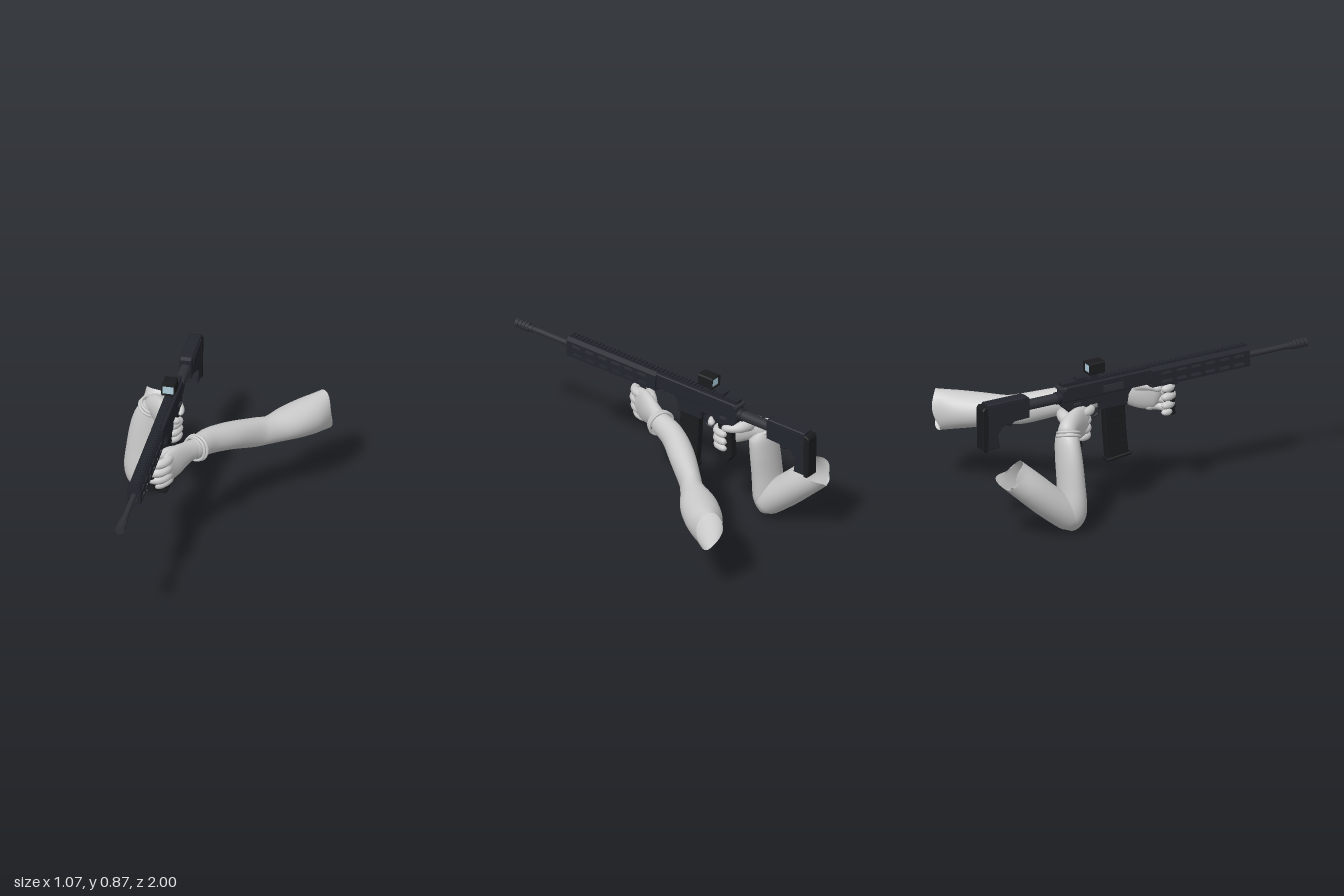
import * as THREE from 'three';

const mat = (color) => new THREE.MeshStandardMaterial({ color, side: THREE.DoubleSide });
const skin = mat(0xcccccc), body = mat(0x23262e), steel = mat(0x2f3138), rubber = mat(0x1b1c1e), glass = mat(0xadcbda);

function add(parent, name, geo, material, x = 0, y = 0, z = 0) {
  const m = new THREE.Mesh(geo, material);
  m.name = name;
  m.position.set(x, y, z);
  parent.add(m);
  return m;
}
const box = (g, name, w, h, d, m, x, y, z) => add(g, name, new THREE.BoxGeometry(w, h, d), m, x, y, z);
const rod = (g, name, r, z0, z1, m, y = 0) =>
  add(g, name, new THREE.CylinderGeometry(r, r, z1 - z0, 20).rotateX(Math.PI / 2), m, 0, y, (z0 + z1) / 2);

// Side profile given as [z, y] points, extruded across x
function plate(g, name, pts, width, m, x = 0, holes = [], bevel = 0.005) {
  const shape = new THREE.Shape(pts.map(p => new THREE.Vector2(...p)));
  for (const h of holes) shape.holes.push(new THREE.Path(h.map(p => new THREE.Vector2(...p))));
  const depth = width - 2 * bevel;
  const geo = new THREE.ExtrudeGeometry(shape, {
    depth, bevelEnabled: bevel > 0, bevelSize: bevel, bevelThickness: bevel, bevelOffset: -bevel, bevelSegments: 1,
  });
  geo.rotateY(-Math.PI / 2).translate(depth / 2, 0, 0);
  add(g, name, geo, m, x);
}

// Smooth elliptical tube through [x, y, z, ra, rb]; capA / capB round off that share of each end,
// jag gives the end ring an uneven torn edge
function loft(g, name, pts, { ref = [0, 1, 0], steps = 24, sides = 20, capA = 0, capB = 0, jag = 0 } = {}) {
  const path = new THREE.CatmullRomCurve3(pts.map(p => new THREE.Vector3(p[0], p[1], p[2])), false, 'catmullrom');
  const radii = new THREE.CatmullRomCurve3(pts.map(p => new THREE.Vector3(p[3], p[4] ?? p[3], 0)), false, 'catmullrom');
  const up = new THREE.Vector3(...ref), pos = [], idx = [];
  for (let i = 0; i <= steps; i++) {
    const t = i / steps, c = path.getPoint(t), r = radii.getPoint(t), T = path.getTangent(t);
    const s = up.clone().cross(T).normalize(), o = T.clone().cross(s);
    let k = 1;
    if (t < capA) k = Math.sqrt(1 - (1 - t / capA) ** 2);
    if (t > 1 - capB) k = Math.sqrt(Math.max(0, 1 - ((t - 1 + capB) / capB) ** 2));
    k = Math.max(k, 0.001);
    for (let j = 0; j < sides; j++) {
      const a = j / sides * Math.PI * 2;
      const e = i === steps ? jag * (Math.sin(2 * a) + 0.6 * Math.cos(3 * a)) : 0;
      const p = c.clone().addScaledVector(s, Math.cos(a) * r.x * k).addScaledVector(o, Math.sin(a) * r.y * k).addScaledVector(T, e);
      pos.push(p.x, p.y, p.z);
      if (i < steps) {
        const n = (j + 1) % sides, A = i * sides;
        idx.push(A + j, A + n, A + sides + j, A + n, A + sides + n, A + sides + j);
      }
    }
  }
  const geo = new THREE.BufferGeometry();
  geo.setAttribute('position', new THREE.Float32BufferAttribute(pos, 3));
  geo.setIndex(idx);
  geo.computeVertexNormals();
  add(g, name, geo, skin);
}

// Rolled glove edge around a wrist
function cuff(g, name, at, dir, r) {
  const d = new THREE.Vector3(...dir).normalize();
  for (const [off, s] of [[-0.01, 0.94], [0.01, 1]]) {
    const m = add(g, name, new THREE.TorusGeometry(r * s, 0.008, 8, 28), skin);
    m.position.set(...at).addScaledVector(d, off);
    m.quaternion.setFromUnitVectors(new THREE.Vector3(0, 0, 1), d);
  }
}

function buildRifle() {
  const g = new THREE.Group();
  g.name = 'rifle';
  // Barrel and muzzle brake
  rod(g, 'barrel', 0.016, 0.0, 0.93, steel);
  rod(g, 'muzzleCollar', 0.021, 0.885, 0.915, steel);
  for (let i = 0; i < 4; i++) rod(g, 'muzzleRing', 0.025, 0.91 + i * 0.023, 0.928 + i * 0.023, steel);
  rod(g, 'muzzleCore', 0.021, 0.9, 0.99, rubber);

  // Handguard: upper shell, floor and slotted sides
  const oct = [[-0.022, 0.06], [0.022, 0.06], [0.036, 0.04], [0.036, -0.014], [-0.036, -0.014], [-0.036, 0.04]];
  const shell = new THREE.ExtrudeGeometry(new THREE.Shape(oct.map(p => new THREE.Vector2(...p))), { depth: 0.6, bevelEnabled: false });
  add(g, 'handguardShell', shell, body, 0, 0, 0.035);
  box(g, 'handguardFloor', 0.04, 0.012, 0.6, body, 0, -0.047, 0.335);
  const slots = [];
  for (let i = 0; i < 6; i++) {
    const z = 0.1 + i * 0.088;
    slots.push([[z, -0.036], [z + 0.056, -0.036], [z + 0.062, -0.027], [z + 0.056, -0.018], [z, -0.018], [z - 0.006, -0.027]]);
  }
  for (const s of [-1, 1]) {
    plate(g, 'handguardSide', [[0.035, -0.05], [0.635, -0.05], [0.635, 0.02], [0.035, 0.02]], 0.01, body, s * 0.033, slots, 0);
    for (let i = 0; i < 6; i++) box(g, 'sideRib', 0.006, 0.012, 0.055, steel, s * 0.037, 0.02, 0.128 + i * 0.088);
  }

  // Top rail with teeth
  box(g, 'railBase', 0.03, 0.012, 1.05, body, 0, 0.058, 0.1);
  for (let i = 0; i < 44; i++) box(g, 'railTooth', 0.036, 0.01, 0.013, body, 0, 0.067, 0.618 - i * 0.0242);

  // Receiver
  plate(g, 'upperReceiver', [[0.035, 0.056], [-0.49, 0.056], [-0.51, 0.04], [-0.51, -0.03], [0.035, -0.03]], 0.066, body);
  plate(g, 'lowerReceiver', [[-0.07, -0.02], [-0.51, -0.02], [-0.5, -0.06], [-0.46, -0.1], [-0.36, -0.1], [-0.34, -0.075],
    [-0.27, -0.075], [-0.265, -0.12], [-0.11, -0.12], [-0.1, -0.06]], 0.056, body);
  box(g, 'ejectionCover', 0.01, 0.035, 0.12, steel, -0.035, 0.005, -0.2);
  box(g, 'chargingHandle', 0.075, 0.014, 0.03, steel, 0, 0.045, -0.5);
  for (const s of [-1, 1]) box(g, 'selector', 0.014, 0.012, 0.04, steel, s * 0.032, -0.05, -0.42);

  // Trigger and guard
  const guard = new THREE.CatmullRomCurve3([[-0.27, -0.1], [-0.285, -0.15], [-0.36, -0.155], [-0.385, -0.1]].map(p => new THREE.Vector3(0, p[1], p[0])));
  add(g, 'triggerGuard', new THREE.TubeGeometry(guard, 16, 0.007, 8), body);
  box(g, 'trigger', 0.012, 0.05, 0.012, steel, 0, -0.11, -0.335);

  // Pistol grip and forward grip
  plate(g, 'pistolGrip', [[-0.37, -0.08], [-0.47, -0.08], [-0.465, -0.17], [-0.475, -0.28], [-0.445, -0.32], [-0.385, -0.305], [-0.395, -0.2]], 0.05, rubber);
  add(g, 'foreGrip', new THREE.CylinderGeometry(0.026, 0.028, 0.18, 16), rubber, 0, -0.145, 0.16);
  for (let i = 0; i < 5; i++) add(g, 'foreGripRing', new THREE.CylinderGeometry(0.031, 0.031, 0.012, 16), rubber, 0, -0.23 + i * 0.035, 0.16);
  box(g, 'foreGripMount', 0.045, 0.02, 0.085, body, 0, -0.058, 0.16);

  // Magazine
  plate(g, 'magazine', [[-0.125, -0.09], [-0.25, -0.09], [-0.244, -0.25], [-0.232, -0.415], [-0.105, -0.4], [-0.118, -0.25]], 0.048, rubber);
  plate(g, 'magazineBase', [[-0.09, -0.395], [-0.24, -0.412], [-0.24, -0.432], [-0.09, -0.414]], 0.058, rubber);
  for (let i = 0; i < 6; i++) {
    const rib = box(g, 'magazineRib', 0.054, 0.01, 0.1, rubber, 0, -0.16 - i * 0.04, -0.184 + i * 0.003);
    rib.rotation.x = -0.12;
  }

  // Stock and the tube that carries it
  rod(g, 'stockTube', 0.029, -0.76, -0.5, steel, -0.006);
  rod(g, 'stockTubeNut', 0.034, -0.535, -0.505, body, -0.006);
  plate(g, 'stock', [[-0.71, 0.045], [-0.73, 0.056], [-0.968, 0.056], [-0.968, -0.205], [-0.895, -0.205], [-0.905, -0.13],
    [-0.875, -0.09], [-0.85, -0.08], [-0.825, -0.095], [-0.805, -0.072], [-0.71, -0.068]], 0.066, body);
  box(g, 'stockRail', 0.078, 0.035, 0.2, body, 0, 0.025, -0.85);
  plate(g, 'buttPad', [[-0.965, 0.045], [-0.99, 0.045], [-1, 0.03], [-1, -0.2], [-0.985, -0.212], [-0.965, -0.212]], 0.076, rubber);

  // Optic: hollow housing with glass, on a raised mount
  const frame = new THREE.Shape([[-0.036, 0.104], [-0.031, 0.099], [0.031, 0.099], [0.036, 0.104], [0.036, 0.158], [0.03, 0.164],
    [-0.03, 0.164], [-0.036, 0.158]].map(p => new THREE.Vector2(...p)));
  frame.holes.push(new THREE.Path([[-0.03, 0.106], [-0.03, 0.156], [0.03, 0.156], [0.03, 0.106]].map(p => new THREE.Vector2(...p))));
  add(g, 'opticHousing', new THREE.ExtrudeGeometry(frame, { depth: 0.096, bevelEnabled: false }), rubber, 0, 0, -0.346);
  for (const z of [-0.262, -0.334]) box(g, 'opticGlass', 0.061, 0.051, 0.004, glass, 0, 0.131, z);
  box(g, 'opticMount', 0.026, 0.036, 0.04, body, 0, 0.082, -0.3);
  // Folded rear sight
  box(g, 'rearSightBase', 0.045, 0.018, 0.09, body, 0, 0.068, -0.46);
  box(g, 'rearSight', 0.05, 0.03, 0.055, body, 0, 0.076, -0.385);

  g.position.set(-0.23, 0.71, 0);
  g.rotation.set(-0.013, 0.025, 0);
  return g;
}

function buildLeftArm() {
  const g = new THREE.Group();
  g.name = 'leftArm';
  loft(g, 'leftArmSleeve', [[-0.065, 0.592, -0.09, 0.05, 0.06], [-0.045, 0.585, -0.13, 0.056, 0.066], [-0.005, 0.565, -0.24, 0.064, 0.073],
    [0.08, 0.53, -0.37, 0.07, 0.077], [0.185, 0.48, -0.51, 0.06, 0.084], [0.245, 0.465, -0.575, 0.066, 0.08],
    [0.325, 0.456, -0.68, 0.1, 0.09], [0.41, 0.447, -0.79, 0.1, 0.105], [0.475, 0.44, -0.88, 0.072, 0.118]],
  { steps: 48, sides: 28, jag: 0.014 });
  cuff(g, 'leftCuff', [-0.05, 0.587, -0.115], [0.4, -0.12, -0.9], 0.07);
  // Hand around the forward grip
  loft(g, 'leftPalm', [[-0.05, 0.59, -0.11, 0.045, 0.055], [-0.085, 0.594, -0.05, 0.042, 0.066], [-0.125, 0.588, 0.03, 0.042, 0.092],
    [-0.15, 0.582, 0.09, 0.036, 0.094], [-0.165, 0.572, 0.15, 0.028, 0.08]], { capB: 0.2, steps: 30 });
  for (const [y, r, f] of [[0.638, 0.026, 0], [0.59, 0.027, 0.005], [0.542, 0.026, 0], [0.502, 0.022, -0.012]])
    loft(g, 'leftFinger', [[-0.143, y, 0.05, r], [-0.152, y, 0.125 + f, r], [-0.185, y - 0.004, 0.165 + f, r],
      [-0.228, y - 0.006, 0.168 + f, r * 0.92], [-0.252, y - 0.006, 0.138, r * 0.85], [-0.248, y - 0.006, 0.1, r * 0.75]], { capA: 0.12, capB: 0.14, sides: 12 });
  loft(g, 'leftThumb', [[-0.11, 0.615, -0.01, 0.032], [-0.15, 0.637, 0.03, 0.032], [-0.2, 0.638, 0.075, 0.026],
    [-0.25, 0.632, 0.1, 0.021]], { capA: 0.15, capB: 0.15, sides: 12 });
  return g;
}

function buildRightArm() {
  const g = new THREE.Group();
  g.name = 'rightArm';
  loft(g, 'rightForearm', [[-0.375, 0.56, -0.53, 0.05, 0.05], [-0.388, 0.515, -0.54, 0.083, 0.06], [-0.41, 0.42, -0.542, 0.098, 0.066],
    [-0.432, 0.28, -0.54, 0.1, 0.07], [-0.444, 0.14, -0.54, 0.098, 0.076], [-0.425, 0.003, -0.54, 0.07, 0.068]],
  { ref: [0, 0, 1], steps: 40, sides: 28, capB: 0.18 });
  loft(g, 'rightUpperArm', [[-0.433, 0.05, -0.5, 0.075, 0.075], [-0.437, 0.115, -0.575, 0.096, 0.088], [-0.437, 0.21, -0.69, 0.104, 0.09],
    [-0.435, 0.305, -0.795, 0.1, 0.09], [-0.43, 0.395, -0.895, 0.08, 0.088]], { steps: 36, sides: 28, capA: 0.2, jag: 0.025 });
  cuff(g, 'rightCuff', [-0.397, 0.545, -0.537], [-0.42, -0.88, -0.2], 0.062);
  // Hand around the pistol grip
  loft(g, 'rightPalm', [[-0.395, 0.53, -0.55, 0.05, 0.05], [-0.365, 0.565, -0.52, 0.05, 0.065], [-0.325, 0.565, -0.465, 0.046, 0.085],
    [-0.292, 0.553, -0.405, 0.036, 0.09], [-0.28, 0.545, -0.355, 0.026, 0.075]], { capA: 0.15, capB: 0.2, steps: 30 });
  loft(g, 'rightTriggerFinger', [[-0.3, 0.605, -0.43, 0.025], [-0.292, 0.607, -0.37, 0.025], [-0.26, 0.605, -0.33, 0.022],
    [-0.215, 0.6, -0.335, 0.02], [-0.195, 0.597, -0.355, 0.017]], { capA: 0.12, capB: 0.15, sides: 12 });
  for (const [y, r] of [[0.553, 0.025], [0.507, 0.025], [0.466, 0.022]])
    loft(g, 'rightFinger', [[-0.298, y, -0.43, r], [-0.288, y, -0.375, r], [-0.255, y, -0.355, r],
      [-0.222, y, -0.37, r * 0.92], [-0.211, y, -0.41, r * 0.85], [-0.218, y, -0.44, r * 0.75]], { capA: 0.12, capB: 0.14, sides: 12 });
  loft(g, 'rightThumb', [[-0.345, 0.585, -0.5, 0.04], [-0.295, 0.605, -0.51, 0.036], [-0.25, 0.605, -0.498, 0.03],
    [-0.216, 0.6, -0.46, 0.022], [-0.206, 0.592, -0.41, 0.018]], { capA: 0.15, capB: 0.15, sides: 12 });
  return g;
}

export function createModel() {
  const model = new THREE.Group();
  model.name = 'armsHoldingRifle';
  model.add(buildRifle(), buildLeftArm(), buildRightArm());
  return model;
}
